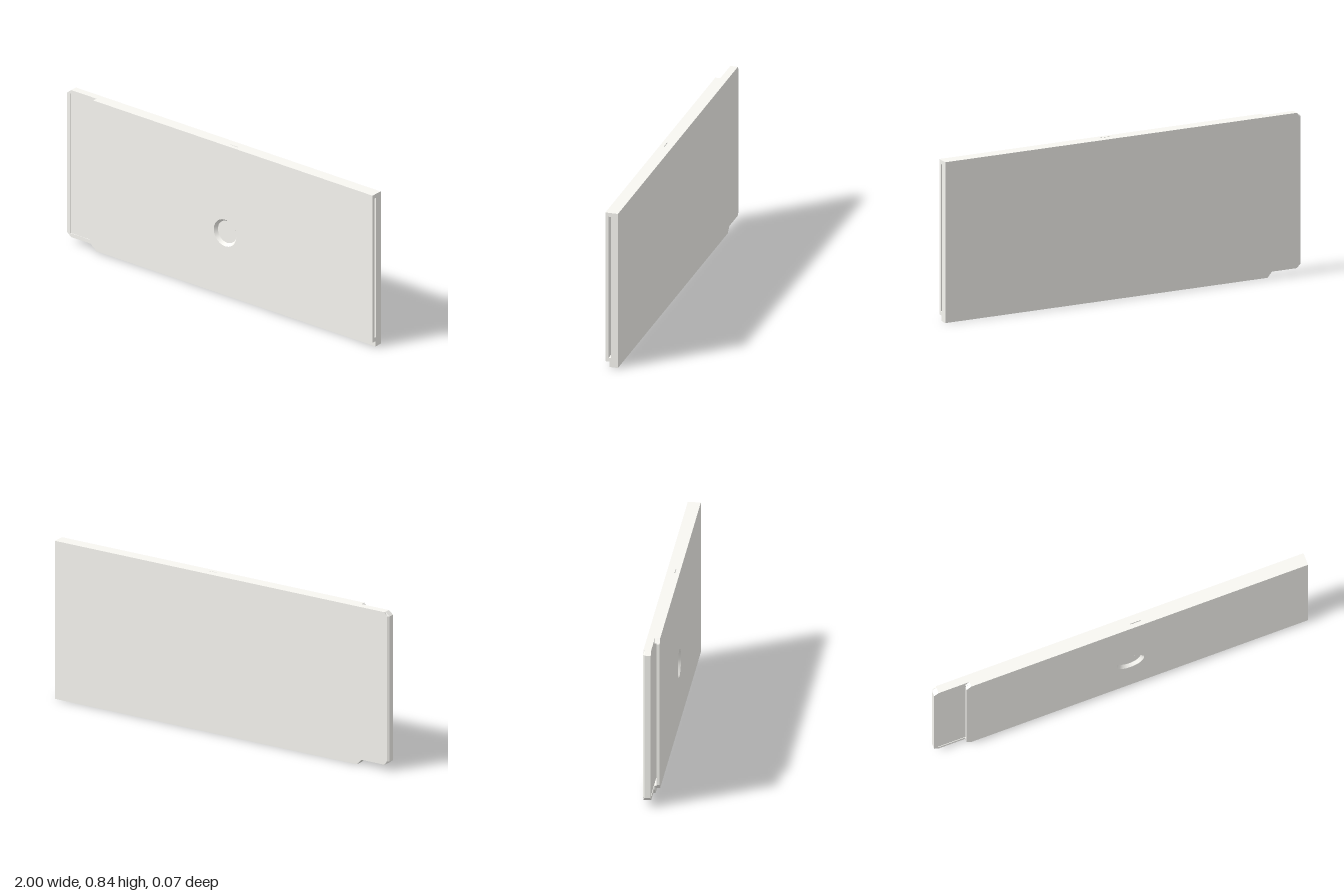
import * as THREE from 'three';

const material = new THREE.MeshStandardMaterial({ color: 0xf8f7f2, side: THREE.DoubleSide });
const TOP = 0.84, STEP = 0.029, TAB = -1, BODY = -0.835, CUT = 0.025, TAB_CUT = 0.02;
const SLOT_LOW = 0.05, SLOT_HIGH = 0.819;
const Z = { back: -0.033, bevel: -0.025, floor: 0.004, rim: 0.0065, ledge: 0.01, cover: 0.016, front: 0.033 };

export function createModel() {
  const group = new THREE.Group();

  const add = (name, geometry) => {
    const mesh = new THREE.Mesh(geometry, material);
    mesh.name = name;
    group.add(mesh);
    return mesh;
  };
  // Flat layer between two depths, from an outline in x and y
  const layer = (name, points, z0, z1, holes = []) => {
    const shape = new THREE.Shape(points.map(([x, y]) => new THREE.Vector2(x, y)));
    shape.holes.push(...holes);
    const geometry = new THREE.ExtrudeGeometry(shape, { depth: z1 - z0, bevelEnabled: false, curveSegments: 48 });
    return add(name, geometry.translate(0, 0, z0));
  };

  // Back plate with the projecting tab and its clipped corners
  const lowerEdge = [[TAB, STEP + TAB_CUT], [TAB + CUT, STEP], [BODY, STEP], [BODY + CUT, 0], [1, 0]];
  const upperEdge = [[1, TOP], [TAB + CUT, TOP], [TAB, TOP - TAB_CUT]];
  const outline = [...lowerEdge, ...upperEdge];
  layer('backPlate', outline, Z.bevel, Z.floor);

  // Rear face layer, sloping in at the tab's end
  const rear = layer('rearFace', outline, Z.back, Z.bevel).geometry;
  const position = rear.attributes.position;
  for (let i = 0; i < position.count; i++) {
    if (position.getX(i) < TAB + 0.001 && position.getZ(i) < Z.back + 0.001) position.setX(i, TAB + 0.012);
  }
  rear.computeVertexNormals();

  // Shallow rim around the pocket, open at the slotted end
  const inset = TAB + 0.022;
  layer('pocketRim', [
    ...lowerEdge, [1, SLOT_LOW], [inset, SLOT_LOW], [inset, SLOT_HIGH], [1, SLOT_HIGH], ...upperEdge,
  ], Z.floor, Z.rim);

  // Bottom wall: ledge first, then the stepped-in part
  layer('bottomLedge', [[BODY, SLOT_LOW], [BODY, STEP], [BODY + CUT, 0], [1, 0], [1, SLOT_LOW]], Z.rim, Z.ledge);
  layer('bottomWall', [[BODY, SLOT_LOW], [BODY + CUT, STEP], [1, STEP], [1, SLOT_LOW]], Z.ledge, Z.cover);

  // Top wall, with a small notch through its lower layer
  const topLeft = [[BODY + 0.003, SLOT_HIGH], [BODY + CUT, TOP]];
  const notch = [0.055, 0.108];
  layer('topWallLeft', [...topLeft, [notch[0], TOP], [notch[0], SLOT_HIGH]], Z.rim, Z.ledge);
  layer('topWallRight', [[notch[1], SLOT_HIGH], [1, SLOT_HIGH], [1, TOP], [notch[1], TOP]], Z.rim, Z.ledge);
  layer('topWall', [...topLeft, [1, TOP], [1, SLOT_HIGH]], Z.ledge, Z.cover);

  // Front cover with a round opening
  const hole = { x: 0.045, y: 0.357, outer: 0.073, inner: 0.06 };
  const opening = new THREE.Path().absarc(hole.x, hole.y, hole.outer, 0, Math.PI * 2, true);
  layer('frontCover', [
    [BODY, STEP + CUT], [BODY + CUT, STEP], [1, STEP], [1, TOP], [BODY + CUT, TOP], [BODY, TOP - CUT],
  ], Z.cover, Z.front, [opening]);

  // Sloping wall of the opening
  const slope = add('openingBevel', new THREE.LatheGeometry([
    new THREE.Vector2(hole.inner, -Z.cover), new THREE.Vector2(hole.outer, -Z.front),
  ], 48).rotateX(-Math.PI / 2));
  slope.position.set(hole.x, hole.y, 0);

  // Round post inside the slot
  const post = add('innerPost', new THREE.CylinderGeometry(0.03, 0.03, Z.cover - Z.floor, 24).rotateX(Math.PI / 2));
  post.position.set(0.3, 0.28, (Z.cover + Z.floor) / 2);

  return group;
}
